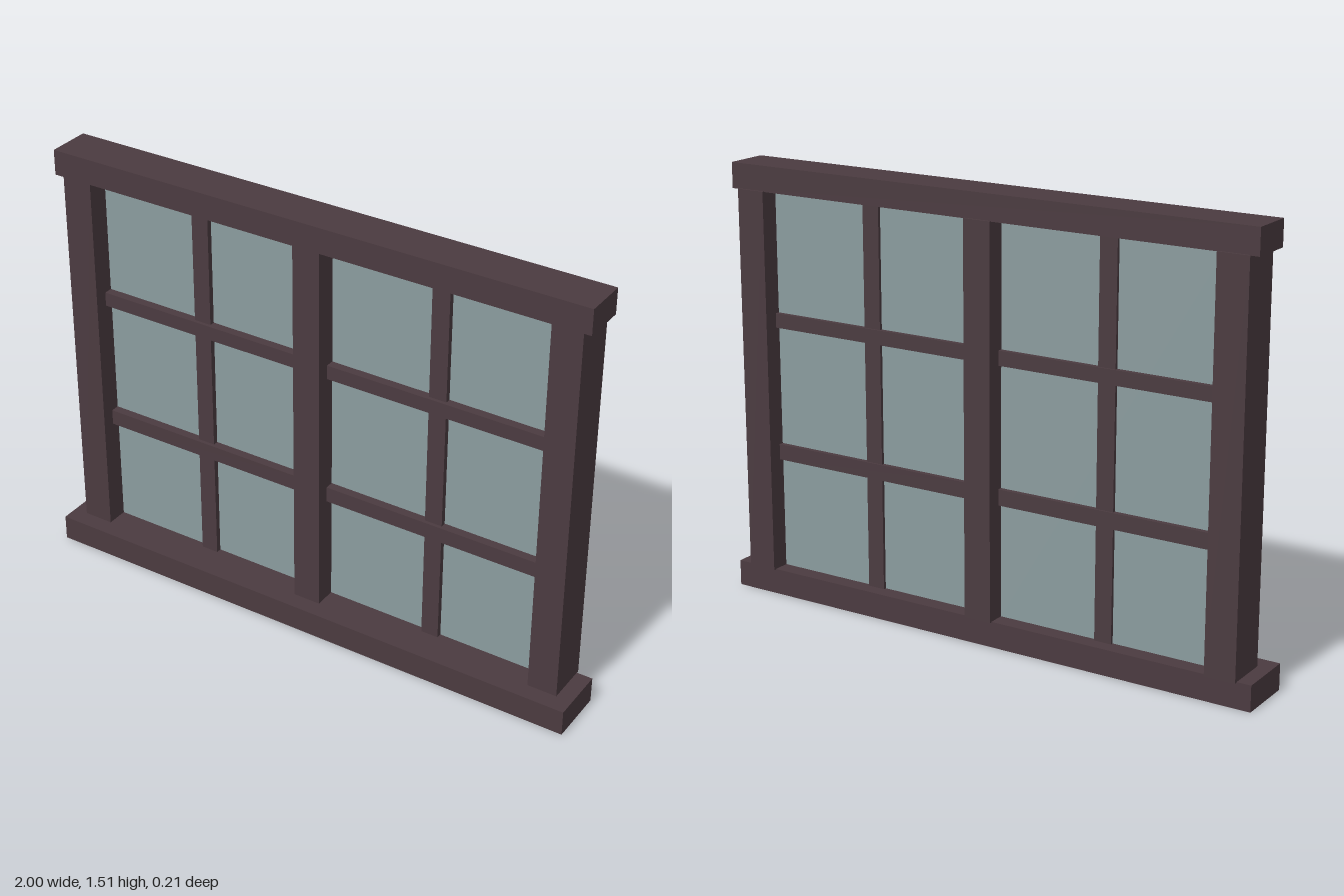
import * as THREE from 'three';

export function createModel() {
  const group = new THREE.Group();
  const frameMat = new THREE.MeshStandardMaterial({ color: 0x4b3b40 });
  frameMat.name = 'darkWood';
  const glassMat = new THREE.MeshStandardMaterial({ color: 0x8b9c9f });
  glassMat.name = 'greyGlass';

  // Box given by its extents on each axis
  function slab(name, [x0, x1], [y0, y1], [z0, z1], material = frameMat) {
    const mesh = new THREE.Mesh(new THREE.BoxGeometry(x1 - x0, y1 - y0, z1 - z0), material);
    mesh.position.set((x0 + x1) / 2, (y0 + y1) / 2, (z0 + z1) / 2);
    mesh.name = name;
    group.add(mesh);
  }

  const opening = [0.088, 1.427];

  // Sill and head
  slab('sill', [-1, 1], [0, 0.09], [-0.096, 0.107]);
  slab('head', [-0.977, 0.973], [1.425, 1.513], [-0.098, 0.055]);

  // Outer posts and central mullion
  const posts = [['rightPost', -0.95, -0.842], ['mullion', -0.056, 0.043], ['leftPost', 0.84, 0.944]];
  for (const [name, x0, x1] of posts) slab(name, [x0, x1], opening, [-0.106, 0.047]);

  // Glazing bars of the two sashes
  for (const [x0, x1] of [[-0.842, -0.056], [0.043, 0.84]]) {
    const mid = (x0 + x1) / 2;
    slab('verticalBar', [mid - 0.031, mid + 0.031], opening, [-0.049, -0.011]);
    for (const y of [[0.482, 0.537], [0.952, 1.002]]) {
      slab('horizontalBar', [x0, x1], y, [-0.055, 0.001]);
    }
    // Glass pane
    slab('glass', [x0, x1], opening, [-0.038, -0.03], glassMat);
  }
  return group;
}
